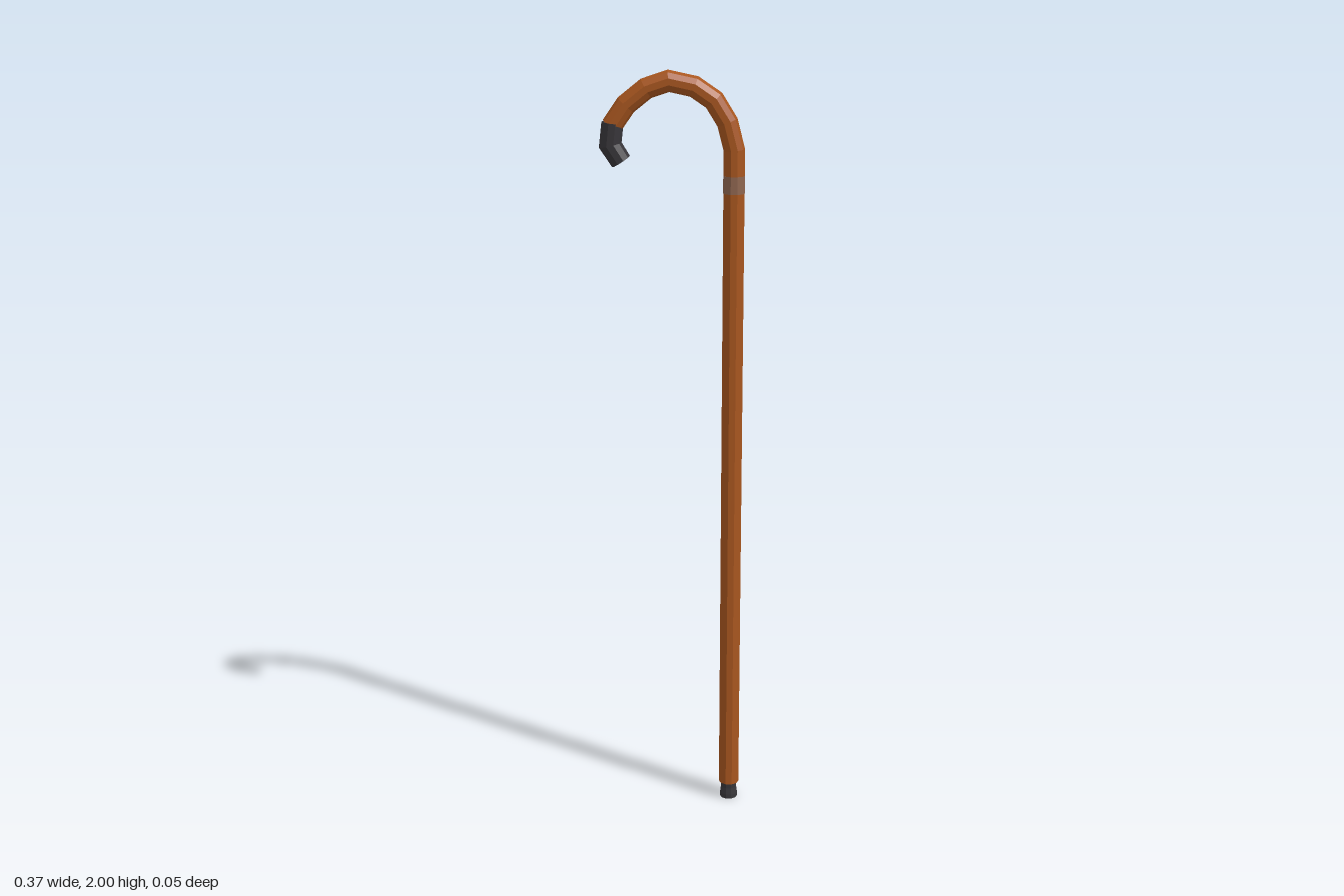
import * as THREE from 'three';

const SIDES = 10;

// Faceted, capped tube swept along points [x, y, radius] in the z = 0 plane
function sweep(points) {
  const pos = [], index = [];
  const p = points.map(([x, y]) => new THREE.Vector2(x, y));
  const last = p.length - 1;
  points.forEach(([x, y, r], i) => {
    const before = p[Math.max(i, 1)].clone().sub(p[Math.max(i, 1) - 1]).normalize();
    const k = Math.min(i, last - 1);
    const after = p[k + 1].clone().sub(p[k]).normalize();
    const t = before.clone().add(after).normalize();
    const miter = 1 / t.dot(after);
    for (let j = 0; j < SIDES; j++) {
      const a = (j / SIDES) * Math.PI * 2;
      const c = Math.cos(a) * r * miter;
      pos.push(x - t.y * c, y + t.x * c, Math.sin(a) * r);
    }
  });
  for (let i = 0; i < last; i++) {
    for (let j = 0; j < SIDES; j++) {
      const a = i * SIDES + j, b = i * SIDES + (j + 1) % SIDES;
      index.push(a, b, b + SIDES, a, b + SIDES, a + SIDES);
    }
  }
  const end = last * SIDES;
  for (let j = 1; j < SIDES - 1; j++) {
    index.push(0, j + 1, j, end, end + j, end + j + 1);
  }
  const geo = new THREE.BufferGeometry();
  geo.setAttribute('position', new THREE.Float32BufferAttribute(pos, 3));
  geo.setIndex(index);
  const flat = geo.toNonIndexed();
  flat.computeVertexNormals();
  return flat;
}

export function createModel() {
  const group = new THREE.Group();
  group.name = 'walkingCane';

  const material = (name, color) => {
    const m = new THREE.MeshStandardMaterial({ color });
    m.name = name;
    return m;
  };
  const wood = material('wood', 0xa8561f);
  const rubber = material('darkRubber', 0x38363a);
  const collarBrown = material('collarBrown', 0x8f6650);

  const add = (name, points, mat) => {
    const mesh = new THREE.Mesh(sweep(points), mat);
    mesh.name = name;
    group.add(mesh);
  };

  const X = 0.157, R = 0.027;

  // Straight shaft running into the curved handle
  const hook = [
    [X, 1.8], [0.139, 1.87], [0.105, 1.925], [0.055, 1.959], [-0.01, 1.973],
    [-0.066, 1.954], [-0.117, 1.913], [-0.153, 1.86],
  ].map(([x, y]) => [x, y, R]);
  add('shaftAndHandle', [[X, 0.045, R], [X, 1.69, R], ...hook], wood);

  // Dark cap on the end of the handle
  add('handleCap', [
    [-0.151, 1.868, R + 0.001], [-0.157, 1.812, R + 0.001], [-0.13, 1.77, R],
  ], rubber);

  // Thin collar below the bend
  add('collar', [[X, 1.69, R + 0.0006], [X, 1.735, R + 0.0006]], collarBrown);

  // Foot ferrule, slightly flared at the ground
  add('foot', [[X, 0, 0.0235], [X, 0.012, 0.0235], [X, 0.03, 0.021], [X, 0.048, 0.022]], rubber);

  return group;
}
